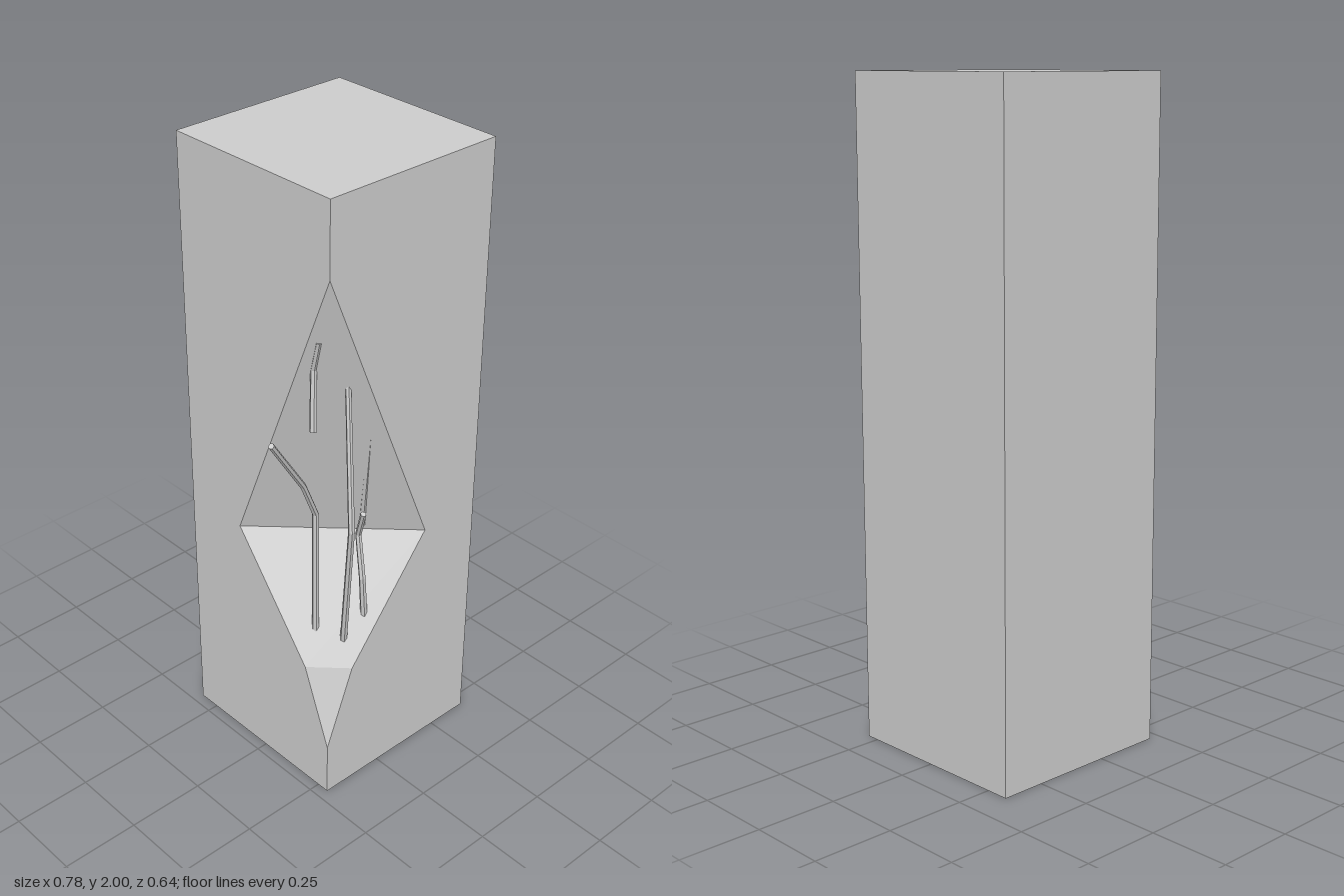
import * as THREE from 'three';

const material = new THREE.MeshStandardMaterial({ color: 0xcccccc, flatShading: true });

// Skin a stack of equal-sized rings (bottom to top) and cap both ends.
function loft(rings, name) {
  const n = rings[0].length;
  const pos = rings.flat().flatMap((p) => [p.x, p.y, p.z]);
  const index = [];
  for (let r = 0; r < rings.length - 1; r++) {
    for (let i = 0; i < n; i++) {
      const a = r * n + i, b = r * n + (i + 1) % n;
      index.push(a, b, b + n, a, b + n, a + n);
    }
  }
  const top = (rings.length - 1) * n;
  for (let i = 1; i < n - 1; i++) {
    index.push(0, i + 1, i);
    index.push(top, top + i, top + i + 1);
  }
  const indexed = new THREE.BufferGeometry();
  indexed.setAttribute('position', new THREE.Float32BufferAttribute(pos, 3));
  indexed.setIndex(index);
  const geometry = indexed.toNonIndexed();
  geometry.computeVertexNormals();
  const mesh = new THREE.Mesh(geometry, material);
  mesh.name = name;
  return mesh;
}

// Square pillar whose front corner is bitten away; cx and cz are the bite depths.
function createPillar() {
  const x0 = -0.215, x1 = 0.39, z0 = -0.322, z1 = 0.29;
  const sections = [
    // y, cx, cz
    [0, 0, 0],
    [0.18, 0, 0],
    [0.44, 0.1, 0.1],
    [0.81, 0.395, 0.39],
    [1.775, 0, 0],
    [2, 0, 0],
  ];
  const rings = sections.map(([y, cx, cz]) => [
    new THREE.Vector3(x0 + cx, y, z1),
    new THREE.Vector3(x1, y, z1),
    new THREE.Vector3(x1, y, z0),
    new THREE.Vector3(x0, y, z0),
    new THREE.Vector3(x0, y, z1 - cz),
  ]);
  return loft(rings, 'pillar');
}

// Crooked twig: mitred polygonal tube along a few points.
function createTwig(path, name, radius = 0.011, sides = 6) {
  const pts = path.map((p) => new THREE.Vector3(...p));
  const up = new THREE.Vector3(0, 1, 0);
  const rings = pts.map((p, k) => {
    const before = pts[Math.max(k - 1, 0)], after = pts[Math.min(k + 1, pts.length - 1)];
    const turn = new THREE.Quaternion().setFromUnitVectors(up, after.clone().sub(before).normalize());
    const r = radius * (1 - 0.2 * k / (pts.length - 1));
    return Array.from({ length: sides }, (_, i) => {
      const a = (i / sides) * Math.PI * 2;
      return new THREE.Vector3(r * Math.cos(a), 0, -r * Math.sin(a)).applyQuaternion(turn).add(p);
    });
  });
  return loft(rings, name);
}

export function createModel() {
  const model = new THREE.Group();
  model.name = 'hollowedPillar';
  model.add(createPillar());

  // Twigs growing in the hollow, each listed from bottom to top
  const twigs = {
    longTwig: [[-0.15, 0.51, 0.165], [-0.15, 0.96, 0.165], [-0.22, 1.1, 0.19], [-0.385, 1.33, 0.248]],
    bentTwig: [[-0.1, 0.51, 0.235], [-0.146, 0.97, 0.311], [-0.095, 1.44, 0.235]],
    shortTwig: [[-0.03, 0.57, 0.25], [-0.04, 0.72, 0.25], [-0.03, 0.86, 0.22], [-0.05, 0.96, 0.26]],
    hangingTwig: [[-0.2, 1.28, 0.21], [-0.18, 1.46, 0.19], [-0.19, 1.56, 0.222]],
    buriedTwig: [[0.045, 0.83, 0.158], [-0.02, 1.24, 0.253]],
  };
  for (const [name, path] of Object.entries(twigs)) model.add(createTwig(path, name));
  return model;
}
